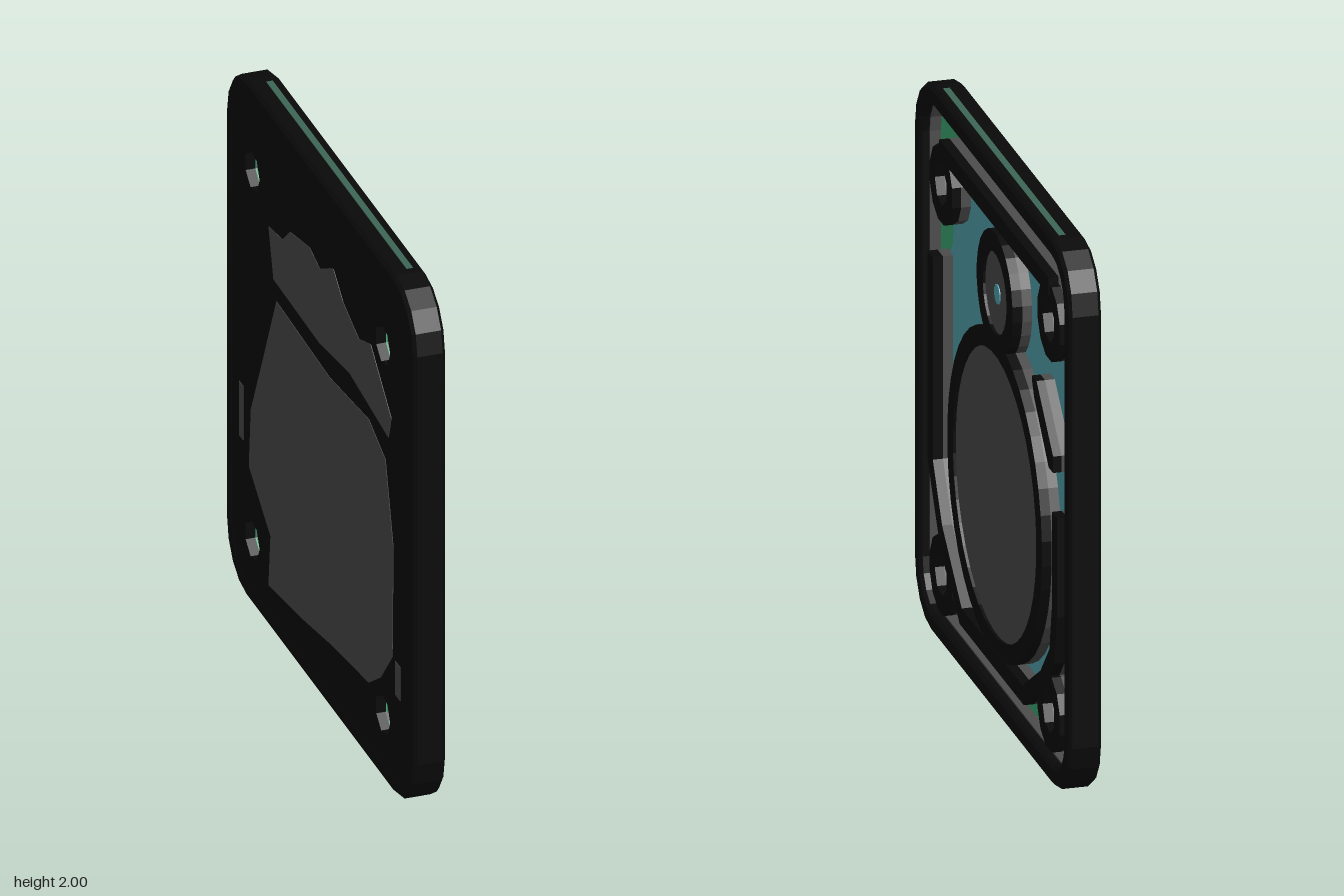
import * as THREE from 'three';

const mat = (name, color, extra = {}) => {
  const m = new THREE.MeshStandardMaterial({ color, ...extra });
  m.name = name;
  return m;
};
const V = (x, y) => new THREE.Vector2(x, y);
const polygon = pts => new THREE.Shape(pts.map(p => V(p[0], p[1])));

// Rectangle with faceted round corners
function roundedOutline(x0, y0, x1, y1, r, n = 4) {
  const pts = [];
  [[x1 - r, y1 - r], [x0 + r, y1 - r], [x0 + r, y0 + r], [x1 - r, y0 + r]].forEach(([cx, cy], q) => {
    for (let i = 0; i <= n; i++) {
      const a = (q + i / n) * Math.PI / 2;
      pts.push(V(cx + r * Math.cos(a), cy + r * Math.sin(a)));
    }
  });
  return pts;
}

function circle(cx, cy, r, n) {
  return Array.from({ length: n }, (_, i) => {
    const a = (i + 0.5) / n * Math.PI * 2;
    return V(cx + r * Math.cos(a), cy + r * Math.sin(a));
  });
}

// Shape of constant width along a bent line, with mitred joints
function stripShape(path, width) {
  const p = path.map(q => V(q[0], q[1]));
  const left = [], right = [];
  p.forEach((c, i) => {
    const d0 = (i ? c.clone().sub(p[i - 1]) : p[1].clone().sub(c)).normalize();
    const d1 = (i < p.length - 1 ? p[i + 1].clone().sub(c) : d0.clone()).normalize();
    const n0 = V(-d0.y, d0.x), n = n0.clone().add(V(-d1.y, d1.x)).normalize();
    n.multiplyScalar(width / 2 / n.dot(n0));
    left.push(c.clone().add(n));
    right.unshift(c.clone().sub(n));
  });
  return new THREE.Shape([...left, ...right]);
}

export function createModel() {
  const model = new THREE.Group();
  model.name = 'speakerPanel';
  const black = mat('black', 0x0a0a0a);
  const grey = mat('grey', 0x4c4c4c);
  const teal = mat('teal', 0x58a9b5);
  const green = mat('green', 0x3fae78);
  const darkGreen = mat('dark green', 0x3c6656);

  // The panel is drawn flat in x/y and then turned to face +x
  const panel = new THREE.Group();
  panel.name = 'panel';
  panel.rotation.y = Math.PI / 2;
  model.add(panel);

  const BACK = -0.06, FLOOR = -0.016, MID = 0.02, FRONT = 0.056;
  const add = (name, shape, z0, z1, material, bevel = 0) => {
    const geo = new THREE.ExtrudeGeometry(shape, {
      depth: z1 - z0 - 2 * bevel, bevelEnabled: bevel > 0, bevelThickness: bevel,
      bevelSize: bevel, bevelOffset: -bevel, bevelSegments: 1,
    });
    geo.translate(0, 0, z0 + bevel);
    const mesh = new THREE.Mesh(geo, material);
    mesh.name = name;
    panel.add(mesh);
  };
  // Raised parts have a grey foot and a black top
  const raised = (name, shape, top = FRONT) => {
    add(name + 'Foot', shape, FLOOR - 0.01, MID, grey);
    add(name, shape, MID, top, black);
  };
  const withHoles = (pts, ...holes) => {
    const s = new THREE.Shape(pts);
    holes.forEach(h => s.holes.push(new THREE.Path(h)));
    return s;
  };

  const screws = [[-0.64, 1.68], [0.69, 1.68], [-0.64, 0.25], [0.69, 0.25]];
  const screwHoles = screws.map(([x, y]) => circle(x, y, 0.075, 7));

  // Outer frame, with a grey lining low on its inner side
  const inner = roundedOutline(-0.895, 0.07, 0.885, 1.93, 0.15);
  add('frame', withHoles(roundedOutline(-0.96, 0, 0.955, 2, 0.21), inner), BACK, FRONT, black, 0.012);
  add('frameLining', withHoles(inner, roundedOutline(-0.889, 0.076, 0.879, 1.924, 0.145)), FLOOR - 0.01, MID, grey);

  // Back plate and the two floor colours
  const plate = roundedOutline(-0.91, 0.055, 0.9, 1.945, 0.16);
  add('backPlate', withHoles(plate, ...screwHoles), BACK + 0.001, FLOOR - 0.008, black);
  add('outerFloor', withHoles(inner, ...screwHoles), FLOOR - 0.008, FLOOR - 0.003, green);

  const leftWall = [[-0.762, 1.38], [-0.762, 0.63], [-0.64, 0.42], [-0.385, 0.195]];
  const rightWall = [[0.385, 0.195], [0.62, 0.34], [0.74, 0.47], [0.772, 0.64], [0.772, 1.0]];
  add('innerFloor', polygon([
    ...leftWall, ...rightWall, [0.885, 1.03], [0.885, 1.62], [0.79, 1.6], [0.59, 1.6],
    [0.59, 1.81], [-0.54, 1.81], [-0.54, 1.6], [-0.7, 1.58], [-0.73, 1.42],
  ]), FLOOR - 0.003, FLOOR + 0.001, teal);

  // Inner walls
  raised('lowerWall', stripShape([...leftWall, ...rightWall], 0.066));
  raised('topWall', stripShape([[-0.65, 1.81], [0.7, 1.81]], 0.064));
  raised('slantedBar', polygon([
    [0.475, 1.38], [0.475, 1.4], [0.53, 1.4], [0.735, 1.2], [0.735, 1.14], [0.68, 1.14], [0.5, 1.33],
  ]), 0.05);

  // Screw bosses
  screws.forEach(([x, y], i) =>
    raised('screwBoss' + (i + 1), withHoles(circle(x, y, 0.142, 12), screwHoles[i]), FRONT - 0.003));

  // Large and small round cones, each with a ring
  const cone = (name, x, y, outer, innerR, n) => {
    raised(name + 'Ring', withHoles(circle(x, y, outer, n), circle(x, y, innerR, n)), FRONT - 0.001);
    add(name, new THREE.Shape(circle(x, y, innerR + 0.005, n)), FLOOR - 0.01, 0.045, grey);
  };
  cone('largeCone', 0.03, 0.795, 0.585, 0.515, 40);
  cone('smallCone', 0.03, 1.535, 0.222, 0.147, 24);
  add('smallConeDot', new THREE.Shape(circle(0.037, 1.532, 0.036, 10)), 0.044, 0.049, teal);

  // Grey patches on the back
  const backPatch = (name, pts) => add(name, polygon(pts.map(([z, y]) => [-z, y])), BACK - 0.001, BACK + 0.004, grey);
  backPatch('upperBackPatch', [
    [-0.47, 1.37], [-0.52, 1.55], [-0.38, 1.57], [-0.3, 1.64], [-0.1, 1.68], [0.0, 1.65], [0.14, 1.72],
    [0.24, 1.64], [0.4, 1.58], [0.52, 1.62], [0.73, 1.44], [0.7, 1.35], [0.3, 1.4], [0, 1.36],
  ]);
  backPatch('lowerBackPatch', [
    [-0.44, 1.3], [0.1, 1.28], [0.5, 1.32], [0.67, 1.25], [0.75, 0.95], [0.74, 0.52], [0.62, 0.38],
    [0.5, 0.3], [0.1, 0.25], [-0.2, 0.2], [-0.52, 0.16], [-0.5, 0.36], [-0.72, 0.52], [-0.7, 0.75], [-0.58, 1.0],
  ]);
  backPatch('backSlitA', [[-0.82, 0.59], [-0.78, 0.59], [-0.78, 0.8], [-0.82, 0.8]]);
  backPatch('backSlitB', [[0.77, 0.39], [0.82, 0.39], [0.82, 0.52], [0.77, 0.52]]);

  // Thin coloured line along the top edge
  const line = new THREE.Mesh(new THREE.BoxGeometry(1.43, 0.006, 0.024), darkGreen);
  line.name = 'topEdgeLine';
  line.position.set(0, 1.998, 0.012);
  panel.add(line);

  return model;
}
